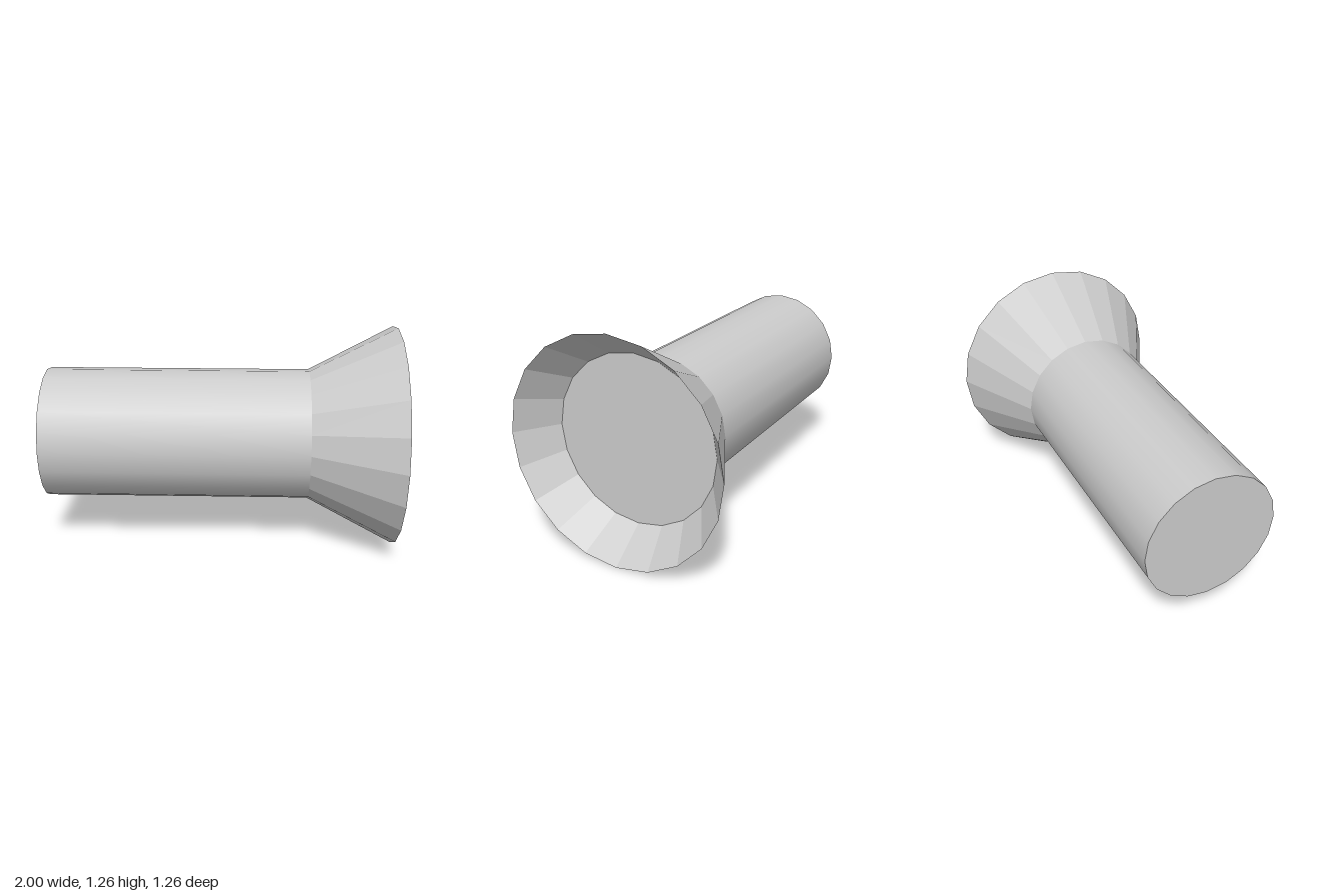
import * as THREE from 'three';

const SIDES = 20;
const CENTRE_Y = 0.632;

// Turn an upright (y axis) shape so its top points to +x, at the axis height
function layDown(geometry) {
  return geometry.rotateZ(-Math.PI / 2).translate(0, CENTRE_Y, 0);
}

function addPart(group, name, geometry, flatShading) {
  const material = new THREE.MeshStandardMaterial({ color: 0xcccccc, flatShading });
  const mesh = new THREE.Mesh(layDown(geometry), material);
  mesh.name = name;
  group.add(mesh);
}

export function createModel() {
  const group = new THREE.Group();
  group.name = 'flaredTube';

  // Smooth barrel, open where it meets the flare
  const start = -1, joint = 0.51, radius = 0.377;
  const barrel = new THREE.CylinderGeometry(radius, radius, joint - start, SIDES, 1, true);
  addPart(group, 'barrel', barrel.translate(0, (start + joint) / 2, 0), false);

  // Flat cap closing the back end
  const cap = new THREE.CircleGeometry(radius, SIDES).rotateX(Math.PI / 2);
  addPart(group, 'endCap', cap.translate(0, start, 0), true);

  // Faceted flare: outer cone, sharp rim, inner wall, recessed disc
  const profile = [
    [radius, joint],
    [0.632, 1],
    [0.476, 0.78],
    [0, 0.78],
  ].map(([r, y]) => new THREE.Vector2(r, y));
  addPart(group, 'flare', new THREE.LatheGeometry(profile, SIDES), true);

  return group;
}
